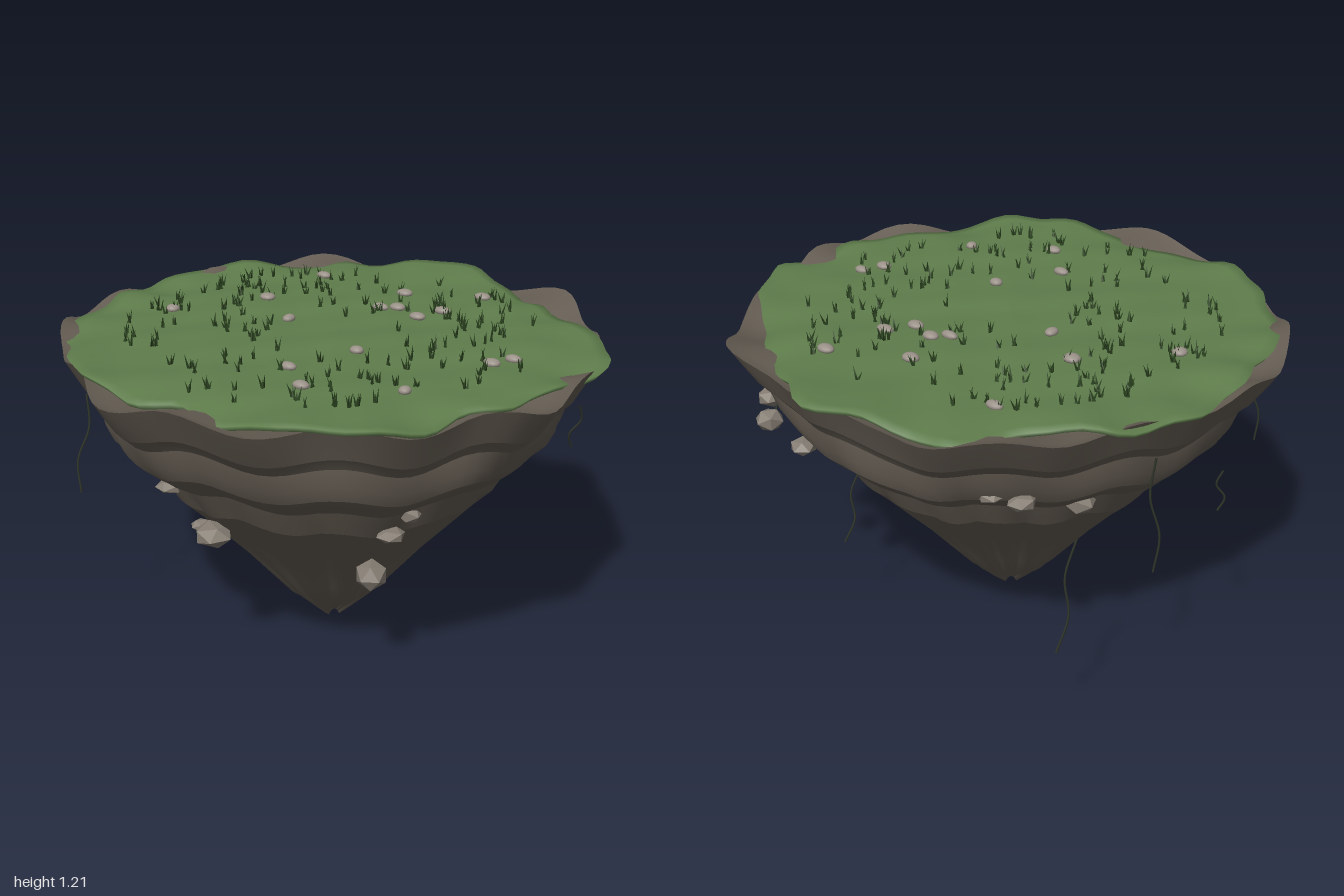
import * as THREE from 'three';
import { mergeGeometries } from 'three/addons/utils/BufferGeometryUtils.js';

const SEG = 120, TAU = Math.PI * 2;

// Outline radii every 15 degrees, starting at +x and turning towards +z
const GRASS = [.93, .91, .88, .97, .95, .92, .85, .92, .95, .93, .96, .92, .94, .97, .97, .88, .97, .94, .99, .90, .87, .87, .94, .99];
const ROCK = [.96, 1.01, .92, .94, .92, .98, .96, .99, .92, .96, .97, .995, .96, .93, .94, .97, 1.0, .92, .92, .92, 1.0, .97, .94, .95];

const material = (color, flatShading = false) =>
  new THREE.MeshStandardMaterial({ color, flatShading, roughness: 1, side: THREE.DoubleSide });

function seeded(seed) {
  return () => ((seed = (seed * 16807) % 2147483647) - 1) / 2147483646;
}

// Smooth lookup in a closed table of radii
function outline(table, a) {
  const t = (((a / TAU) % 1 + 1) % 1) * table.length, i = Math.floor(t), f = t - i;
  const s = f * f * (3 - 2 * f);
  return table[i % table.length] * (1 - s) + table[(i + 1) % table.length] * s;
}

// Closed rings joined into a smooth surface; point(ring, angle) gives [radius, y]
function loft(rings, point) {
  const pos = [], index = [];
  for (let i = 0; i < rings; i++) {
    for (let j = 0; j < SEG; j++) {
      const a = j / SEG * TAU, [r, y] = point(i, a);
      pos.push(Math.cos(a) * r, y, Math.sin(a) * r);
      if (i === rings - 1) continue;
      const n = (j + 1) % SEG, p = i * SEG;
      index.push(p + j, p + n, p + SEG + j, p + n, p + SEG + n, p + SEG + j);
    }
  }
  const g = new THREE.BufferGeometry();
  g.setAttribute('position', new THREE.Float32BufferAttribute(pos, 3));
  g.setIndex(index);
  g.computeVertexNormals();
  return g;
}

// Cliff surface: a stepped profile with lobes above and flutes below
function cliff(r, y, a) {
  const h = Math.min(1, y / 1.0), upper = THREE.MathUtils.smoothstep(y, 0.75, 1.16);
  const rim = (outline(ROCK, a) / 0.965 - 1) * upper;
  const lobe = Math.cos(12 * a + 0.6 + 0.7 * Math.sin(2 * a));
  const flute = Math.abs(Math.sin(9 * a + Math.sin(3 * a))) - 0.6;
  const radius = r * (1 + rim + 0.022 * lobe * (1 - 0.6 * upper) + 0.09 * flute * (1 - h));
  const lift = (0.024 * lobe + 0.01 * Math.sin(5 * a + 1)) * h;
  return [radius, y + lift + (y < 0.1 ? 0.03 * Math.abs(Math.sin(2 * a)) : 0)];
}

function grassHeight(r, a) {
  const x = r * Math.cos(a), z = r * Math.sin(a);
  const bumps = 0.007 * Math.sin(9 * x + 3 * z) * Math.cos(8 * z - 2 * x) + 0.004 * Math.sin(21 * x) * Math.sin(19 * z);
  const edge = THREE.MathUtils.smoothstep(r, 0.65, 0.97);
  const over = outline(GRASS, a) - outline(ROCK, a);
  return 1.168 + bumps + edge * (0.2 * over + 0.012 * Math.sin(7 * a) + 0.008 * Math.sin(17 * a));
}

export function createModel() {
  const island = new THREE.Group();
  island.name = 'floatingIsland';
  const rand = seeded(421);
  const add = (name, geometry, mat, parent = island) => {
    const mesh = new THREE.Mesh(geometry, mat);
    mesh.name = name;
    parent.add(mesh);
    return mesh;
  };
  const group = name => {
    const g = new THREE.Group();
    g.name = name;
    island.add(g);
    return g;
  };

  // Rock layers, each smooth in itself with a sharp edge to the next: [radius, y]
  const layers = [
    [[0.72, 1.10], [0.9, 1.13], [0.965, 1.155]],
    [[0.965, 1.155], [0.935, 1.1], [0.895, 1.03]],
    [[0.895, 1.03], [0.875, 1.01], [0.855, 0.985]],
    [[0.855, 0.985], [0.84, 0.92], [0.81, 0.865]],
    [[0.81, 0.865], [0.75, 0.81], [0.68, 0.765]],
    [[0.68, 0.765], [0.655, 0.72], [0.62, 0.66]],
    [[0.62, 0.66], [0.55, 0.59], [0.46, 0.49], [0.36, 0.38], [0.27, 0.27], [0.18, 0.16], [0.09, 0.065], [0.03, 0.01]],
  ];
  const rock = group('rock'), rockMat = material(0x655d53);
  layers.forEach((p, n) =>
    add('rockLayer' + (n + 1), loft(p.length, (i, a) => cliff(p[i][0], p[i][1], a)), rockMat, rock));

  // Grass carpet with a thin drooping edge
  const RINGS = 22;
  add('grassCarpet', loft(RINGS + 2, (i, a) => {
    const R = outline(GRASS, a) + 0.008 * Math.sin(23 * a);
    const r = R * Math.min(1, i / RINGS);
    return i > RINGS ? [R - 0.015, grassHeight(r, a) - 0.02] : [r, grassHeight(r, a)];
  }), material(0x5f7d4c));

  // Grass tufts: three to four leaning blades each
  const blades = [];
  for (let t = 0; t < 170; t++) {
    const a = rand() * TAU, r = 0.16 + 0.6 * Math.sqrt(rand());
    const count = 3 + Math.floor(rand() * 2);
    for (let b = 0; b < count; b++) {
      const h = 0.03 + 0.027 * rand();
      blades.push(new THREE.ConeGeometry(0.006, h, 3)
        .translate(0, h / 2 - 0.004, 0)
        .rotateZ(0.15 + 0.3 * rand())
        .rotateY(b / count * TAU + rand())
        .translate(r * Math.cos(a) + 0.012 * (rand() - 0.5), grassHeight(r, a), r * Math.sin(a) + 0.012 * (rand() - 0.5)));
    }
  }
  add('grassTufts', mergeGeometries(blades), material(0x2c4420, true));

  // Rounded pebbles lying in the grass: [x, z]
  const pebbles = group('pebbles'), pebbleMat = material(0x9a9188);
  [[-.43, -.58], [.26, -.65], [-.01, -.52], [.01, -.31], [.06, -.35], [.17, -.31], [.22, -.41], [-.42, -.18], [-.22, -.04],
    [-.65, .11], [.2, .15], [.68, -.08], [.64, 0], [.09, .4], [.53, .38], [.24, .54]].forEach(([x, z]) => {
    const m = add('pebble', new THREE.SphereGeometry(0.026, 12, 8), pebbleMat, pebbles);
    m.scale.set(0.8 + 0.6 * rand(), 0.6, 0.7 + 0.4 * rand());
    m.position.set(x, grassHeight(Math.hypot(x, z), Math.atan2(z, x)) + 0.007, z);
  });

  // Faceted boulders clinging to the cliff: [x, y, z, size, flatness]
  const boulders = group('boulders'), boulderMat = material(0x857d73, true);
  [[-.57, .68, .25, .038, .8], [-.26, .73, .62, .052, .45], [-.12, .56, .57, .072, .6], [-.29, .49, .43, .038, .6],
    [.40, .46, .36, .06, .9], [.54, .73, .35, .042, .8], [.50, .66, .40, .05, .5], [.62, .86, -.62, .05, .7],
    [.47, .87, -.75, .048, .9], [.31, .82, -.74, .05, .6], [-.62, .80, -.38, .052, .8], [-.56, .88, -.60, .05, .6],
    [-.48, .9, -.66, .045, .5]].forEach(([x, y, z, s, flat], i) => {
    const m = add('boulder', new THREE.IcosahedronGeometry(s, 0), boulderMat, boulders);
    m.scale.set(1.1, flat, 1);
    m.position.set(x, y, z);
    m.rotation.y = i * 1.3;
  });

  // Thin hanging roots: start point, end point
  const roots = group('hangingRoots'), rootMat = material(0x33392c);
  [[-.92, .86, .0, -.9, .69, .02], [-.84, 1.0, -.28, -.835, .55, -.25], [-.75, .8, -.56, -.71, .36, -.6],
    [-.65, .98, .6, -.665, .61, .65], [.76, .88, -.5, .715, .69, -.55], [.25, .66, -.54, .29, .36, -.6]].forEach(([x, y, z, u, v, w]) => {
    const curve = new THREE.CatmullRomCurve3([0, 0.33, 0.67, 1].map((t, i) => new THREE.Vector3(
      x + (u - x) * t + [0, 0.012, -0.014, 0][i], y + (v - y) * t, z + (w - z) * t + [0, -0.01, 0.012, 0][i])));
    add('root', new THREE.TubeGeometry(curve, 16, 0.004, 5), rootMat, roots);
  });

  return island;
}
